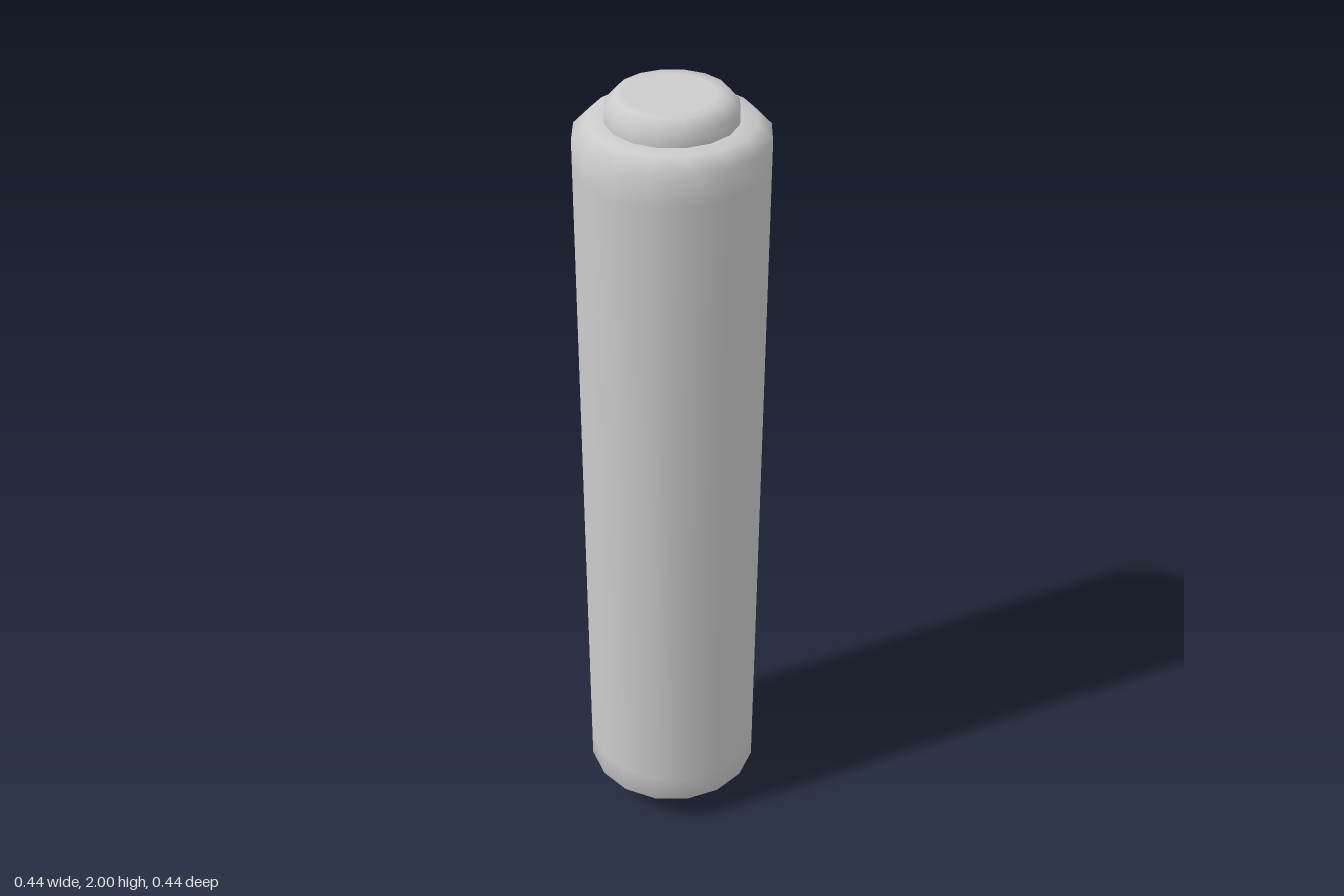
import * as THREE from 'three';

const SIDES = 16;
const material = new THREE.MeshStandardMaterial({ color: 0xcccccc });

// Solid of revolution from [radius, height] pairs, listed bottom to top
function turned(name, profile) {
  const points = profile.map(([r, y]) => new THREE.Vector2(r, y));
  const mesh = new THREE.Mesh(new THREE.LatheGeometry(points, SIDES), material);
  mesh.name = name;
  return mesh;
}

export function createModel() {
  const group = new THREE.Group();
  group.name = 'roller';

  // Main barrel with chamfered rims; extra rings keep the long side shading flat
  const half = [[0.22, 0.84], [0.22, 0.912], [0.188, 0.943], [0.14, 0.943], [0, 0.943]];
  const lower = half.map(([r, y]) => [r, -y]).reverse();
  const barrel = turned('barrel', [...lower, ...half]);
  barrel.position.y = 1;
  group.add(barrel);

  // Chamfered stub at each end, the lower one turned over
  for (const end of [1, -1]) {
    const stub = turned(end > 0 ? 'topStub' : 'bottomStub', [
      [0, 0.93], [0.148, 0.93], [0.148, 0.943], [0.148, 0.975], [0.126, 1], [0.1, 1], [0, 1],
    ]);
    stub.position.y = 1;
    if (end < 0) stub.rotation.x = Math.PI;
    group.add(stub);
  }
  return group;
}
